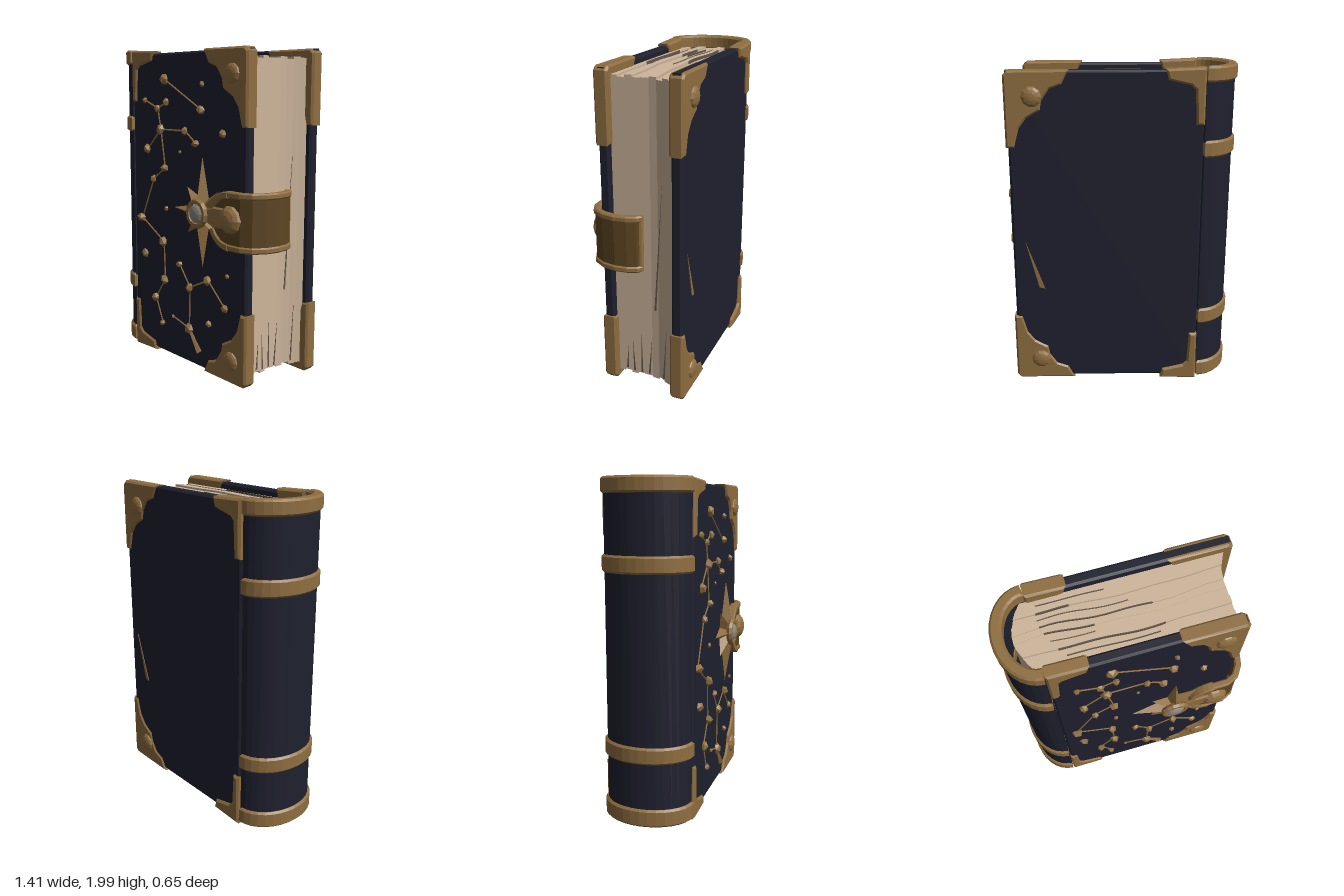
import * as THREE from 'three';

const mat = (name, color) => {
  const m = new THREE.MeshStandardMaterial({ color });
  m.name = name;
  return m;
};

export function createModel() {
  const book = new THREE.Group();
  book.name = 'ornateBook';
  const navy = mat('navyLeather', 0x1e202e);
  const gold = mat('agedGold', 0x8f6e40);
  const bronze = mat('darkBronze', 0x5c4522);
  const paper = mat('paper', 0xcdb59a);
  const shade = mat('pageGap', 0x62564a);
  const silver = mat('silverGem', 0x8c8983);

  const add = (name, geo, material) => {
    const mesh = new THREE.Mesh(geo, material);
    mesh.name = name;
    book.add(mesh);
    return mesh;
  };
  const faceted = (geo) => {
    const g = geo.index ? geo.toNonIndexed() : geo;
    g.computeVertexNormals();
    return g;
  };
  const shapeOf = (pts) => new THREE.Shape(pts.map(([x, y]) => new THREE.Vector2(x, y)));

  // Plate drawn in x/y, filling z0..z1 with a small chamfer
  const plate = (pts, z0, z1, b = 0.012) => new THREE.ExtrudeGeometry(shapeOf(pts), {
    depth: z1 - z0 - 2 * b, bevelEnabled: b > 0, bevelSegments: 1,
    bevelThickness: b, bevelSize: b, bevelOffset: -b,
  }).translate(0, 0, z0 + b);

  // Outline drawn in x/z, filling y0..y1
  const upright = (pts, y0, y1, b = 0) => new THREE.ExtrudeGeometry(
    shapeOf(pts.map(([x, z]) => [x, -z])), {
      depth: y1 - y0 - 2 * b, bevelEnabled: b > 0, bevelSegments: 1,
      bevelThickness: b, bevelSize: b, bevelOffset: -b,
    }).rotateX(-Math.PI / 2).translate(0, y0 + b, 0);

  // Strip of even thickness following a path in x/z
  const ribbon = (path, thick, y0, y1, b = 0) => {
    const side = (s) => path.map(([x, z], i) => {
      const p = path[Math.max(i - 1, 0)], q = path[Math.min(i + 1, path.length - 1)];
      const len = Math.hypot(q[0] - p[0], q[1] - p[1]);
      return [x - s * thick / 2 * (q[1] - p[1]) / len, z + s * thick / 2 * (q[0] - p[0]) / len];
    });
    return upright([...side(1), ...side(-1).reverse()], y0, y1, b);
  };

  // Covers
  const rect = (x0, x1, y0, y1) => [[x0, y0], [x1, y0], [x1, y1], [x0, y1]];
  add('frontCover', plate(rect(-0.485, 0.585, 0.025, 1.96), 0.163, 0.225), navy);
  add('backCover', plate(rect(-0.485, 0.645, 0.025, 1.97), -0.3, -0.235), navy);

  // Rounded spine and its raised bands
  const arc = (a, b) => Array.from({ length: 17 }, (_, i) => {
    const t = Math.PI * (0.5 + i / 16);
    return [-0.49 + a * Math.cos(t), -0.037 - b * Math.sin(t)];
  });
  add('spine', ribbon(arc(0.178, 0.235), 0.045, 0.025, 1.965), navy);
  for (const [y0, y1] of [[0.015, 0.12], [0.39, 0.49], [1.465, 1.565], [1.9, 1.99]])
    add('spineBand', ribbon(arc(0.182, 0.24), 0.066, y0, y1, 0.012), gold);

  // Page block: wavy bundles of sheets with uneven ends
  const bundles = 9;
  const foreX = (t) => 0.55 + 0.06 * Math.max(0, 1 - t / 0.42) ** 1.4;
  const backX = (t) => -0.52 - 0.08 * Math.sin(Math.PI * t);
  const sheetZ = (t, x) => -0.236 + 0.402 * t
    + Math.sin(Math.PI * t) * (0.012 * Math.sin(x * 6 + 1) + 0.006 * Math.sin(x * 15 + t * 9));
  const sheetLine = (t, u0 = 0, u1 = 1) => Array.from({ length: 13 }, (_, i) => {
    const x = THREE.MathUtils.lerp(backX(t), foreX(t), u0 + (u1 - u0) * i / 12);
    return [x, sheetZ(t, x)];
  });
  for (let i = 0; i < bundles; i++) {
    const lift = 0.008 * Math.sin(i * 2.4);
    add('pageBundle', upright([...sheetLine(i / bundles),
      ...sheetLine((i + 1) / bundles).reverse()], 0.068 - lift, 1.918 + lift), paper);
  }
  // Gaps between sheets, at top and bottom
  for (let i = 1; i < bundles; i++) {
    const u0 = 0.08 + 0.3 * Math.abs(Math.sin(i * 3.1)), u1 = u0 + 0.35 + 0.2 * Math.cos(i * 1.7);
    const line = sheetLine(i / bundles, u0, Math.min(u1, 0.97));
    add('topPageGap', ribbon(line, 0.005, 1.9, 1.928), shade);
    add('bottomPageGap', ribbon(line, 0.005, 0.058, 0.08), shade);
  }
  // Tapering gaps on the fore edge: [z, low y, high y, lean]
  for (const [z, y0, y1, lean] of [[-0.105, 0.55, 1.37, 0.05], [0.0, 0.08, 0.36, 0],
    [0.05, 0.08, 0.3, -0.01], [-0.05, 0.08, 0.34, 0.02], [-0.16, 0.09, 0.45, 0.02], [0.1, 0.09, 0.25, 0.01]]) {
    const gap = add('foreEdgeGap', plate([[-0.006, y0], [0.006, y0], [lean, y1]], -0.001, 0.001, 0), shade);
    gap.rotation.y = Math.PI / 2;
    gap.position.set(foreX((z - lean + 0.236) / 0.402) + 0.003, 0, z);
  }

  // Corner fittings and rivets, mirrored top to bottom on both covers
  const outer = [[0.6, 1.945], [0.575, 1.97], [0.23, 1.97], [0.27, 1.89], [0.34, 1.865], [0.385, 1.8],
    [0.395, 1.745], [0.475, 1.7], [0.52, 1.64], [0.55, 1.53], [0.6, 1.53]];
  const inner = [[-0.488, 1.985], [-0.26, 1.975], [-0.275, 1.915], [-0.405, 1.885], [-0.43, 1.86],
    [-0.44, 1.66], [-0.488, 1.66]];
  const rivet = (x, y, z, r, h, dir = 1) => {
    const m = add('rivet', faceted(new THREE.SphereGeometry(r, 10, 4, 0, Math.PI * 2, 0, Math.PI / 2)), gold);
    m.scale.y = h / r;
    m.rotation.x = dir * Math.PI / 2;
    m.position.set(x, y, z);
  };
  for (const flip of [false, true]) {
    const place = (pts, dx) => pts.map(([x, y]) => [x + dx, flip ? 1.985 - y : y]);
    add('frontCorner', plate(place(outer, -0.005), 0.154, 0.24), gold);
    add('backCorner', plate(place(outer, 0.058), -0.31, -0.226), gold);
    add('frontHingeCorner', plate(place(inner, 0), 0.156, 0.236), gold);
    add('backHingeCorner', plate(place(inner, 0), -0.318, -0.228), gold);
    const y = flip ? 0.155 : 1.825;
    rivet(0.475, y, 0.238, 0.06, 0.026);
    rivet(0.5, y, -0.308, 0.06, 0.026, -1);
  }

  // Sliver inlay on the back cover
  add('backSliver', plate([[0.57, 0.95], [0.46, 0.64], [0.495, 0.65]], -0.304, -0.298, 0), gold);

  // Constellation studs: [x, y, radius]
  const studs = [
    [-0.15, 1.8, 0.037], [0.21, 1.77, 0.02], [-0.35, 1.67, 0.022], [-0.22, 1.62, 0.026], [-0.13, 1.66, 0.028],
    [0.2, 1.62, 0.032], [-0.19, 1.49, 0.037], [0.05, 1.49, 0.028], [0.15, 1.42, 0.03], [0.39, 1.49, 0.027],
    [-0.33, 1.36, 0.034], [-0.15, 1.25, 0.032], [-0.27, 1.17, 0.028], [-0.14, 0.99, 0.018], [-0.4, 0.9, 0.037],
    [-0.17, 0.77, 0.036], [-0.37, 0.66, 0.033], [-0.01, 0.65, 0.026], [0.26, 0.6, 0.034], [0.43, 0.66, 0.016],
    [-0.16, 0.52, 0.035], [0.09, 0.52, 0.033], [0.41, 0.46, 0.028], [-0.26, 0.38, 0.034], [0.27, 0.33, 0.024],
    [0.08, 0.25, 0.038], [-0.08, 0.29, 0.014], [-0.19, 0.22, 0.024], [0, 1.36, 0.012]];
  studs.forEach(([x, y, r], i) => {
    const stud = add('constellationStud', new THREE.IcosahedronGeometry(r, 0), gold);
    stud.rotation.set(i, i * 2, 0);
    stud.scale.z = 0.8;
    stud.position.set(x, y, 0.228);
  });
  // Thin links between studs
  const link = (a, b, r0, r1) => {
    const [p, q] = [a, b].map(([x, y]) => new THREE.Vector3(x, y, 0.226));
    const d = q.clone().sub(p);
    const rod = add('constellationLink', faceted(new THREE.CylinderGeometry(r1, r0, d.length(), 5)), gold);
    rod.position.copy(p).lerp(q, 0.5);
    rod.rotation.z = Math.atan2(-d.x, d.y);
  };
  for (const [a, b] of [[0, 5], [3, 4], [3, 6], [2, 3], [6, 7], [7, 8], [6, 10], [6, 11], [11, 12], [12, 14],
    [14, 15], [15, 20], [20, 23], [23, 27], [17, 21], [21, 18], [18, 22], [21, 25], [25, 26]])
    link(studs[a], studs[b], 0.006, 0.006);
  link(studs[25], [0.18, 0.12], 0.01, 0.024);

  // Eight-pointed star emblem
  const ring = Array.from({ length: 16 }, (_, i) => {
    const r = i % 2 ? 0.095 : [0.27, 0.2, 0.335, 0.2][(i / 2) % 4];
    const t = i * Math.PI / 8;
    return [r * Math.cos(t), r * Math.sin(t), i % 2 ? 0 : 0.018];
  });
  const facets = ring.flatMap((p, i) => [0, 0, 0.075, ...p, ...ring[(i + 1) % 16]]);
  const starGeo = new THREE.BufferGeometry();
  starGeo.setAttribute('position', new THREE.Float32BufferAttribute(facets, 3));
  starGeo.computeVertexNormals();
  add('starEmblem', starGeo, gold).position.set(0.23, 1.015, 0.226);
  const bezel = add('starBezel', faceted(new THREE.TorusGeometry(0.072, 0.02, 6, 14)), gold);
  bezel.position.set(0.23, 1.015, 0.288);
  const gem = add('starGem', faceted(new THREE.SphereGeometry(0.062, 10, 4, 0, Math.PI * 2, 0, Math.PI / 2)), silver);
  gem.rotation.x = Math.PI / 2;
  gem.scale.y = 0.5;
  gem.position.set(0.23, 1.015, 0.288);

  // Clasp: curved strap, edge rims and rolled tip
  const strap = [[0.46, 0.255], [0.57, 0.253], [0.63, 0.225], [0.67, 0.165], [0.686, 0.09],
    [0.68, 0.02], [0.66, -0.03], [0.638, -0.05]];
  add('claspStrap', ribbon(strap, 0.026, 0.85, 1.15), bronze);
  for (const y of [0.83, 1.135]) add('claspRim', ribbon(strap, 0.042, y, y + 0.037, 0.008), gold);
  const tip = add('claspTip', faceted(new THREE.CylinderGeometry(0.02, 0.02, 0.33, 8)), gold);
  tip.position.set(0.64, 1, -0.046);

  // Rounded clasp end on the cover, with rim, button and tongue
  const fan = (r, a0, a1) => Array.from({ length: 7 }, (_, i) => {
    const t = a0 + (a1 - a0) * i / 6;
    return [0.48 + r * Math.cos(t), 1 + r * Math.sin(t)];
  });
  const half = Math.PI / 2;
  add('claspEnd', plate(fan(0.15, half, 3 * half), 0.228, 0.268, 0), bronze);
  for (const [a0, a1] of [[half, half * 1.75], [half * 2.25, half * 3]])
    add('claspEndRim', plate([...fan(0.172, a0, a1), ...fan(0.132, a1, a0)], 0.226, 0.28, 0.006), gold);
  add('claspTongue', plate([[0.27, 0.985], [0.36, 0.95], [0.5, 0.95], [0.5, 1.07], [0.36, 1.07], [0.27, 1.035]],
    0.24, 0.284, 0.008), gold);
  rivet(0.495, 1.01, 0.262, 0.085, 0.052);

  return book;
}
